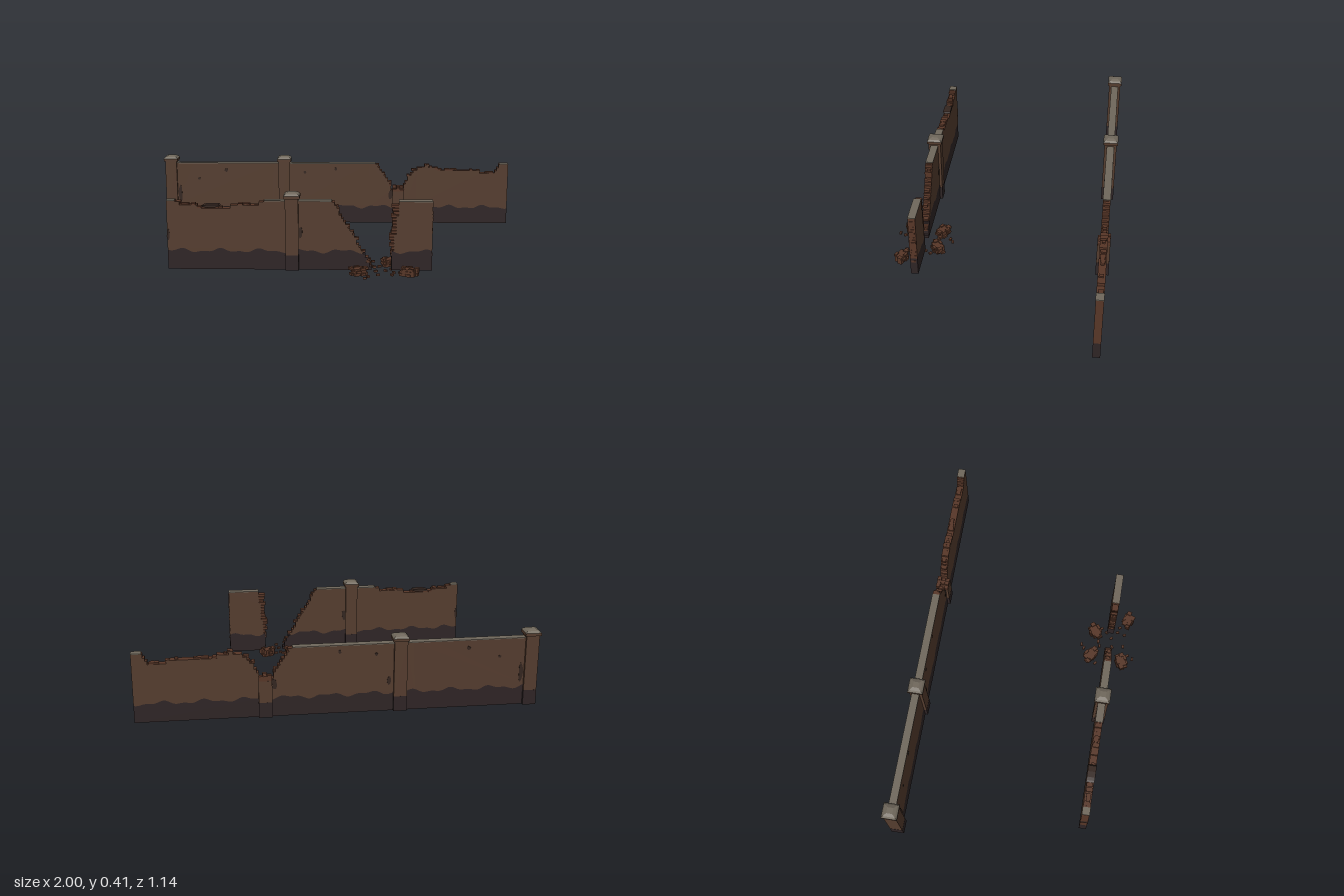
import * as THREE from 'three';
import { mergeGeometries } from 'three/addons/utils/BufferGeometryUtils.js';

const FULL = 0.36, GROUND = 0.01, COURSE = 0.0165, THICK = 0.038;
const FRONT_Z = 0.42, BACK_Z = -0.534;

export function createModel() {
  const model = new THREE.Group();
  model.name = 'ruinedWall';

  const mat = (name, color) => {
    const m = new THREE.MeshStandardMaterial({ color });
    m.name = name;
    return m;
  };
  const plaster = mat('brown plaster', 0x543c2e);
  const damp = mat('dark damp base', 0x2e2425);
  const coping = mat('grey stone', 0x6f675b);
  const brick = mat('exposed brick', 0x573627);
  const stain = mat('dark hollow', 0x33251f);

  let seed = 17;
  const rnd = () => (seed = (seed * 16807) % 2147483647) / 2147483647;
  const spread = (a) => (rnd() - 0.5) * 2 * a;

  const add = (name, geo, material, parent = model) => {
    const mesh = new THREE.Mesh(geo, material);
    mesh.name = name;
    parent.add(mesh);
    return mesh;
  };
  const box = (w, h, d, x, y, z, turn = 0) =>
    new THREE.BoxGeometry(w, h, d).rotateY(turn).translate(x, y, z);
  const slab = (pts, z, depth = THICK) =>
    new THREE.ExtrudeGeometry(new THREE.Shape(pts.map((p) => new THREE.Vector2(...p))),
      { depth, bevelEnabled: false }).translate(0, 0, z - depth / 2);

  // Wavy upper edge of the damp band
  const wave = (x) => 0.107 + 0.008 * Math.sin(x * 31) + 0.005 * Math.sin(x * 67 + 1);

  // Height along a broken outline, snapped to brick courses
  const heightAt = (profile, x) => {
    let i = 1;
    while (i < profile.length - 1 && x > profile[i][0]) i++;
    const [a, b] = [profile[i - 1], profile[i]];
    const h = a[1] + (b[1] - a[1]) * (x - a[0]) / (b[0] - a[0]);
    return h > FULL - 0.001 ? FULL : GROUND + Math.round((h - GROUND) / COURSE) * COURSE;
  };

  // Wall panel: damp band, plaster above it, grey top strips, loose bricks along breaks
  function wallPanel(name, z, profile, copings) {
    const group = new THREE.Group();
    group.name = name;
    model.add(group);
    const x0 = profile[0][0], x1 = profile[profile.length - 1][0];
    const n = Math.round((x1 - x0) / 0.011);
    const edge = (i) => x0 + (x1 - x0) * i / n;
    const cols = [];
    for (let i = 0; i < n; i++) {
      const a = edge(i), b = edge(i + 1);
      cols.push({ a, b, h: Math.max(GROUND + COURSE, heightAt(profile, (a + b) / 2)) });
    }
    const low = cols.flatMap((c) =>
      [[c.a, Math.min(wave(c.a), c.h)], [c.b, Math.min(wave(c.b), c.h)]]);
    add('dampBase', slab([[x0, GROUND], ...low, [x1, GROUND]], z), damp, group);

    const tall = cols.filter((c) => c.h > Math.max(wave(c.a), wave(c.b)) + 0.004);
    const upper = tall.flatMap((c) => [[c.a, c.h], [c.b, c.h]]);
    const lower = [...tall].reverse().map((c) => [c.b, wave(c.b)]);
    lower.push([tall[0].a, wave(tall[0].a)]);
    add('plasterFace', slab([...upper, ...lower], z), [plaster, brick], group);

    const strips = copings.map(([a, b]) =>
      box(b - a, 0.004, THICK + 0.002, (a + b) / 2, FULL + 0.002, z));
    if (strips.length) add('topStrip', mergeGeometries(strips), coping, group);

    const loose = [];
    cols.forEach((c, i) => {
      const next = cols[i + 1];
      if (c.h >= FULL || c.h < 0.04) return;
      const steep = next && Math.abs(next.h - c.h) > 0.01;
      if (steep ? rnd() < 0.6 : rnd() < 0.28) {
        loose.push(box(0.014 + rnd() * 0.016, 0.012, 0.014 + rnd() * 0.02,
          (c.a + c.b) / 2 + spread(0.004), c.h + (steep ? -0.004 : 0.002), z + spread(0.004)));
      }
    });
    if (loose.length) add('looseBricks', mergeGeometries(loose), brick, group);
  }

  wallPanel('backLeftPanel', BACK_Z, [[-0.93, FULL], [-0.33, FULL]], [[-0.93, -0.33]]);
  wallPanel('backMiddlePanel', BACK_Z,
    [[-0.27, FULL], [0.23, FULL], [0.26, 0.33], [0.28, 0.29], [0.31, 0.25], [0.335, 0.2]],
    [[-0.27, 0.23]]);
  wallPanel('backBrokenPanel', BACK_Z,
    [[0.395, 0.23], [0.42, 0.28], [0.45, 0.31], [0.48, 0.345], [0.53, 0.35], [0.56, 0.338],
      [0.62, 0.325], [0.72, 0.33], [0.8, 0.318], [0.915, 0.308], [0.935, 0.335], [0.945, 0.36], [1, FULL]],
    [[0.95, 1]]);
  wallPanel('frontBrokenPanel', FRONT_Z,
    [[-0.82, FULL], [-0.775, FULL], [-0.75, 0.345], [-0.7, 0.335], [-0.6, 0.325],
      [-0.52, 0.33], [-0.45, 0.34], [-0.4, 0.34], [-0.36, 0.348], [-0.34, FULL], [-0.23, FULL]],
    [[-0.82, -0.78], [-0.335, -0.23]]);
  wallPanel('frontCollapsedPanel', FRONT_Z,
    [[-0.17, FULL], [0.005, FULL], [0.1, 0.2], [0.2, 0.025]], [[-0.17, 0.0]]);
  wallPanel('frontEndPanel', FRONT_Z,
    [[0.298, 0.07], [0.308, 0.14], [0.322, 0.24], [0.332, FULL], [0.5, FULL]], [[0.332, 0.5]]);

  // Toothed brick edge on the standing end piece
  const teeth = [];
  for (let y = 0.09; y < 0.35; y += COURSE) {
    const reach = 0.008 + rnd() * 0.014;
    teeth.push(box(reach + 0.02, COURSE * 0.8, THICK - 0.004,
      0.315 + (y > 0.22 ? 0.008 : 0) - reach / 2, y, FRONT_Z));
    if (rnd() > 0.4) {
      teeth.push(box(0.004, COURSE * 0.75, 0.018 + rnd() * 0.012, 0.5, y, FRONT_Z + spread(0.003)));
    }
  }
  add('toothedEdge', mergeGeometries(teeth), brick);

  // Square pillars with a flat cap slab and a low faceted dome
  function pillar(name, x, z, top = 0.376) {
    const group = new THREE.Group();
    group.name = name;
    group.position.set(x, 0, z);
    model.add(group);
    const split = 0.088;
    add('pillarBase', box(0.067, split - GROUND, 0.067, 0, (split + GROUND) / 2, 0), damp, group);
    add('pillarShaft', box(0.066, top - split, 0.066, 0, (top + split) / 2, 0), plaster, group);
    return group;
  }
  const frustum = (bottom, top, h, y) => {
    const g = new THREE.CylinderGeometry(top * Math.SQRT2, bottom * Math.SQRT2, h, 4, 1)
      .toNonIndexed().rotateY(Math.PI / 4).translate(0, y + h / 2, 0);
    g.computeVertexNormals();
    return g;
  };
  for (const [name, x, z] of [['backEndPillar', -0.96, BACK_Z], ['backPillar', -0.3, BACK_Z],
    ['frontPillar', -0.198, FRONT_Z]]) {
    const group = pillar(name, x, z);
    add('capSlab', box(0.08, 0.015, 0.08, 0, 0.3825, 0), plaster, group);
    add('capDome', mergeGeometries([frustum(0.04, 0.031, 0.009, 0.39),
      frustum(0.031, 0.015, 0.007, 0.399)]), coping, group);
  }

  // Snapped pillar with a ragged brick top
  const stump = pillar('brokenPillar', 0.365, BACK_Z, 0.2);
  const ragged = [];
  for (const ix of [-1, 0, 1]) {
    for (const iz of [-1, 0, 1]) {
      const h = 0.008 + rnd() * 0.026;
      ragged.push(box(0.021, h, 0.021, ix * 0.022, 0.2 + h / 2, iz * 0.022));
    }
  }
  add('raggedTop', mergeGeometries(ragged), brick, stump);

  // Hollows where the plaster has flaked, showing on both faces
  const hollows = [
    [-0.912, 0.18, BACK_Z, 0.012, 0.05], [-0.64, 0.32, BACK_Z, 0.012, 0.01],
    [-0.18, 0.31, BACK_Z, 0.008, 0.008], [0.0, 0.33, BACK_Z, 0.008, 0.01],
    [-0.8, 0.27, BACK_Z, 0.008, 0.008], [-0.245, 0.17, BACK_Z, 0.012, 0.025],
    [-0.815, 0.19, FRONT_Z, 0.008, 0.03], [-0.155, 0.2, FRONT_Z, 0.01, 0.03],
    [-0.6, 0.335, FRONT_Z, 0.05, 0.008], [0.32, 0.18, BACK_Z, 0.014, 0.03],
  ].map(([x, y, z, rx, ry]) => {
    const pts = [];
    for (let i = 0; i < 9; i++) {
      const a = i / 9 * Math.PI * 2, r = 0.75 + rnd() * 0.4;
      pts.push([x + Math.max(-0.95, Math.cos(a) * r) * rx, y + Math.sin(a) * r * ry]);
    }
    return slab(pts, z, THICK + 0.004);
  });
  add('flakedHollows', mergeGeometries(hollows), stain);

  // Fallen lumps of brickwork around the breach
  for (const [x, z, turn] of [[0.15, 0.33, -0.6], [0.29, 0.335, 0.65],
    [0.135, 0.5, 0.45], [0.385, 0.51, -0.35]]) {
    const lump = [box(0.062, 0.036, 0.046, 0, 0.022, 0)];
    for (let c = 0; c < 3; c++) {
      for (const side of [-1, 1]) {
        lump.push(box(0.022, 0.0125, 0.024, side * (0.03 + rnd() * 0.007), 0.011 + c * 0.014, spread(0.014)));
        lump.push(box(0.026, 0.0125, 0.014, spread(0.018), 0.011 + c * 0.014, side * (0.02 + rnd() * 0.007)));
      }
    }
    const mesh = add('fallenBrickwork', mergeGeometries(lump), brick);
    mesh.position.set(x, 0, z);
    mesh.rotation.y = turn;
  }

  // Scattered single bricks
  const bits = [[0.21, 0.27], [0.19, 0.285], [0.165, 0.56], [0.18, 0.53], [0.215, 0.37], [0.22, 0.44],
    [0.3, 0.4], [0.31, 0.46], [0.3, 0.5], [0.27, 0.43], [0.2, 0.35], [0.32, 0.37], [0.34, 0.47],
    [0.24, 0.36], [0.23, 0.5], [0.11, 0.36]].map(([x, z]) =>
    box(0.018, 0.01, 0.012, x, 0.005, z, rnd() * Math.PI));
  add('scatteredBricks', mergeGeometries(bits), brick);

  return model;
}
